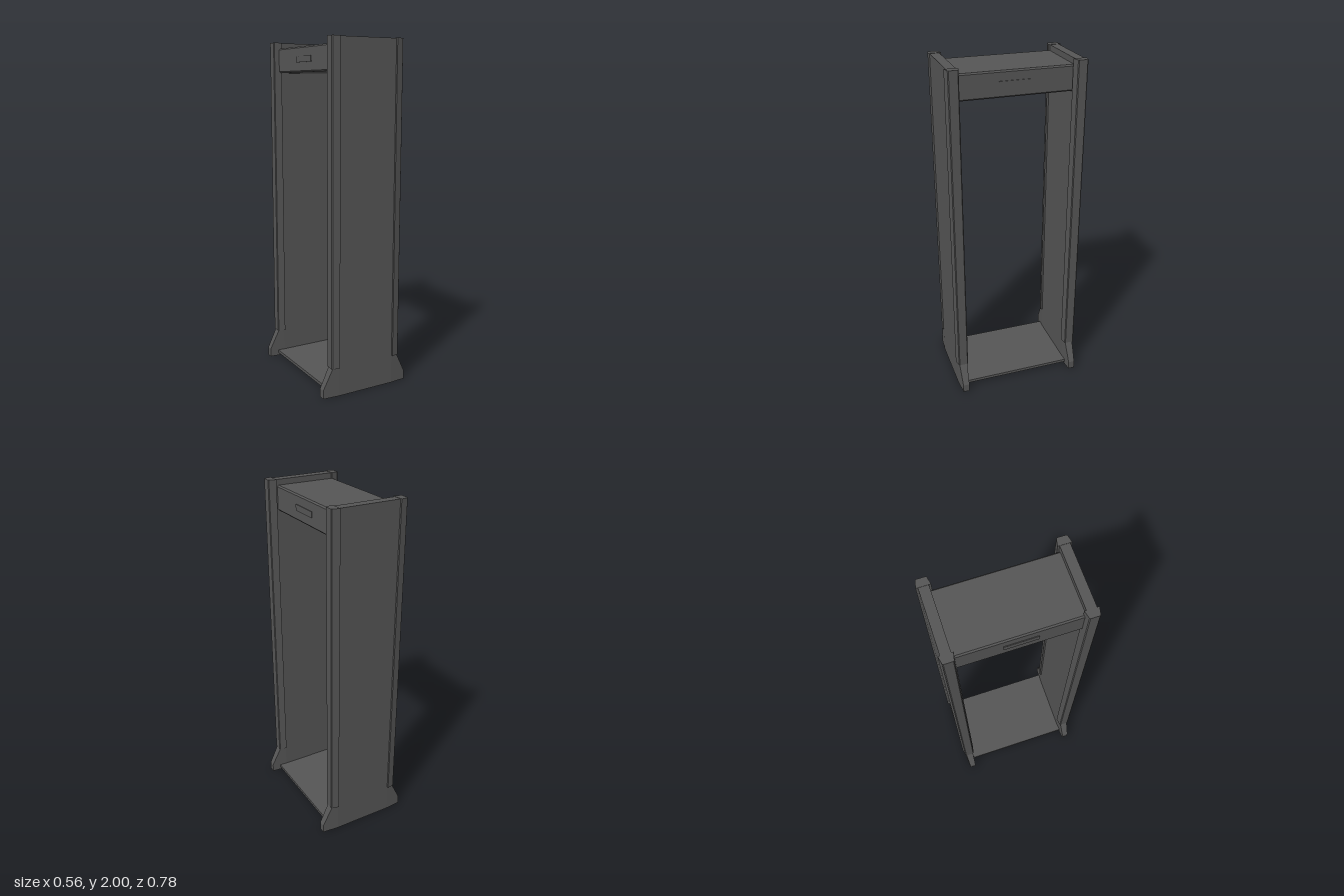
import * as THREE from 'three';

const grey = new THREE.MeshStandardMaterial({ color: 0x555555 });
grey.name = 'dark grey';

function add(parent, name, geometry, x = 0, y = 0, z = 0) {
  const mesh = new THREE.Mesh(geometry, grey);
  mesh.name = name;
  mesh.position.set(x, y, z);
  parent.add(mesh);
  return mesh;
}

function prism(points, depth) {
  const shape = new THREE.Shape(points.map(([x, y]) => new THREE.Vector2(x, y)));
  return new THREE.ExtrudeGeometry(shape, { depth, bevelEnabled: false });
}

// Rectangular sections [x, height, half thickness], joined along x
function footGeometry(sections) {
  const corners = sections.map(([x, h, w]) => [[x, 0, w], [x, 0, -w], [x, h, -w], [x, h, w]]);
  const pos = [];
  const quad = (a, b, c, d) => pos.push(...a, ...b, ...c, ...a, ...c, ...d);
  for (let i = 0; i < corners.length - 1; i++) {
    for (let k = 0; k < 4; k++) {
      const n = (k + 1) % 4;
      quad(corners[i][k], corners[i][n], corners[i + 1][n], corners[i + 1][k]);
    }
  }
  const [a, b, c, d] = corners[0];
  quad(d, c, b, a);
  quad(...corners[corners.length - 1]);
  const geometry = new THREE.BufferGeometry();
  geometry.setAttribute('position', new THREE.Float32BufferAttribute(pos, 3));
  geometry.computeVertexNormals();
  return geometry;
}

function sidePanel(name, z) {
  const panel = new THREE.Group();
  panel.name = name;
  panel.position.z = z;
  add(panel, 'panelBoard', new THREE.BoxGeometry(0.38, 1.84, 0.054), 0, 1.078, 0);

  // Flared foot, thinner towards its tips
  add(panel, 'foot', footGeometry([
    [-0.278, 0.05, 0.019], [-0.215, 0.178, 0.024], [-0.18, 0.178, 0.027],
    [0.18, 0.178, 0.027], [0.215, 0.178, 0.024], [0.278, 0.05, 0.019],
  ]));

  // Tapered edge trims, full height above the foot
  for (const s of [-1, 1]) {
    const trim = prism([
      [s * 0.18, -0.038], [s * 0.222, -0.029], [s * 0.226, -0.024],
      [s * 0.226, 0.024], [s * 0.222, 0.029], [s * 0.18, 0.038],
    ], 1.83);
    trim.rotateX(-Math.PI / 2);
    add(panel, s > 0 ? 'leftTrim' : 'rightTrim', trim, 0, 0.17, 0);
  }
  return panel;
}

export function createModel() {
  const gate = new THREE.Group();
  gate.name = 'walkThroughGate';
  gate.add(sidePanel('frontPanel', 0.352), sidePanel('backPanel', -0.355));

  // Overhead unit with softened long edges
  const x0 = -0.195, x1 = 0.17, y0 = 1.82, y1 = 1.965, c = 0.008;
  add(gate, 'overheadUnit', prism([
    [x0 + c, y0], [x1 - c, y0], [x1, y0 + c], [x1, y1 - c],
    [x1 - c, y1], [x0 + c, y1], [x0, y1 - c], [x0, y0 + c],
  ], 0.66), 0, 0, -0.33);

  // Display strip on both faces of the overhead unit
  for (const [name, x] of [['leftDisplay', x1], ['rightDisplay', x0]]) {
    add(gate, name, new THREE.BoxGeometry(0.008, 0.034, 0.18), x, 1.893, 0.004);
  }

  // Walkway plate
  add(gate, 'floorPlate', new THREE.BoxGeometry(0.45, 0.018, 0.66), 0, 0.027, 0);
  return gate;
}
